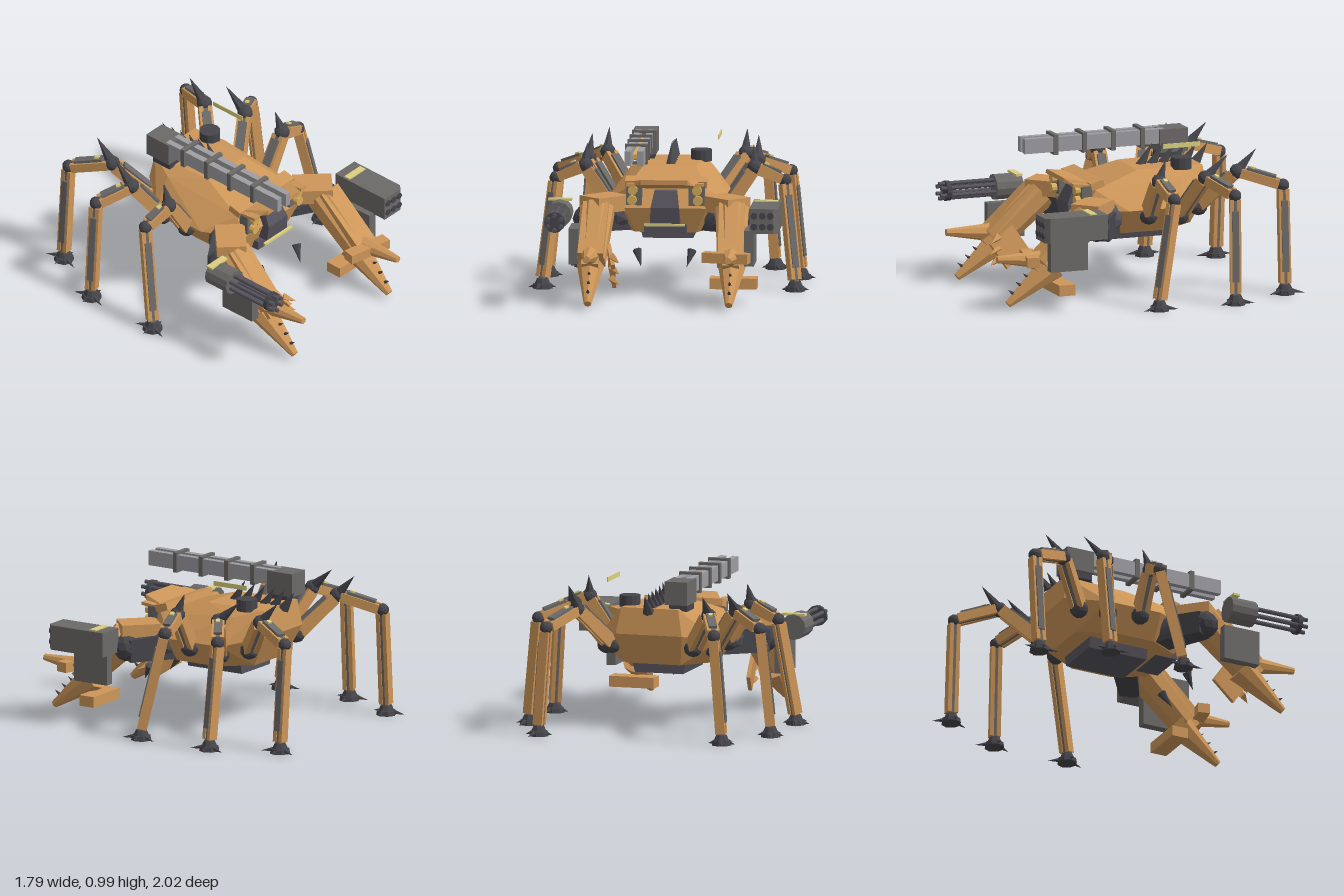
import * as THREE from 'three';
import { ConvexGeometry } from 'three/addons/geometries/ConvexGeometry.js';

const paint = (color) => new THREE.MeshStandardMaterial({ color, flatShading: true });
const tan = paint(0xcd9659), grey = paint(0x6c6a68), dark = paint(0x45454b), slate = paint(0x56535c);
const steel = paint(0x9d9da2), yellow = paint(0xddd080), gold = paint(0xd8ad5c);
const V = (p) => new THREE.Vector3(...p);

function add(parent, name, geo, mat, pos = [0, 0, 0], rot = [0, 0, 0]) {
  const m = new THREE.Mesh(geo, mat);
  m.name = name;
  m.position.set(...pos);
  m.rotation.set(...rot);
  parent.add(m);
  return m;
}
const box = (parent, name, mat, size, pos, rot) => add(parent, name, new THREE.BoxGeometry(...size), mat, pos, rot);
const ball = (parent, name, mat, r, pos) => add(parent, name, new THREE.IcosahedronGeometry(r, 1), mat, pos);
const rod = (parent, name, mat, r, len, pos, sides = 8) =>
  add(parent, name, new THREE.CylinderGeometry(r, r, len, sides), mat, pos, [Math.PI / 2, 0, 0]);

// Faceted solid from points mirrored across x
const shell = (parent, name, mat, half) =>
  add(parent, name, new ConvexGeometry(half.flatMap(([x, y, z]) => [V([x, y, z]), V([-x, y, z])])), mat);

// Group whose +z runs from a to b; returns it with its length
function span(parent, name, a, b) {
  const g = new THREE.Group();
  g.name = name;
  g.position.copy(V(a));
  g.lookAt(V(b));
  parent.add(g);
  return [g, V(a).distanceTo(V(b))];
}

// Tapered box lying along +z
function taper(parent, name, mat, w, h, len, end = 1, pos = [0, 0, 0]) {
  const geo = new THREE.BoxGeometry(w, h, len).translate(0, 0, len / 2);
  const p = geo.attributes.position;
  for (let i = 0; i < p.count; i++) if (p.getZ(i) > 0) p.setXY(i, p.getX(i) * end, p.getY(i) * end);
  return add(parent, name, geo, mat, pos);
}

// Cone, or blunt cone with tip radius, from a to b
function spike(parent, name, mat, r, a, b, sides = 6, tip = 0) {
  const [g, len] = span(parent, name, a, b);
  add(g, name, new THREE.CylinderGeometry(tip, r, len, sides).rotateX(Math.PI / 2), mat, [0, 0, len / 2]);
}

// Beam of tan side rails around a grey core with an outer panel, clear of the joints at its ends
function limb(parent, name, a, b, w, h, end) {
  const [g, full] = span(parent, name, a, b);
  const gap = 0.025, len = full - 2 * gap;
  for (const s of [-1, 1]) taper(g, name + 'Rail', tan, w * 0.36, h, len, end, [s * w * 0.32, 0, gap]);
  taper(g, name + 'Core', grey, w * 0.4, h * 0.8, full, end);
  box(g, name + 'Panel', grey, [w * 0.62, 0.02, len * 0.76], [0, h * 0.5, full / 2]);
  return [g, full];
}

function leg(parent, s, [hip, joint, knee, foot]) {
  const g = new THREE.Group();
  g.name = 'leg';
  parent.add(g);
  const [H, J, K, F] = [hip, joint, knee, foot].map(([x, y, z]) => [x * s, y, z]);
  ball(g, 'hipBall', dark, 0.06, H);
  limb(g, 'hipLink', H, J, 0.09, 0.085, 0.85);
  ball(g, 'upperJoint', dark, 0.05, J);
  const [thigh, len] = limb(g, 'thigh', J, K, 0.085, 0.075, 0.8);
  box(thigh, 'thighMark', yellow, [0.025, 0.012, 0.03], [0, 0.052, len * 0.3]);
  ball(g, 'knee', dark, 0.042, K);
  limb(g, 'shin', K, F, 0.07, 0.06, 1.05);
  // Foot: collar, pad and claws
  add(g, 'ankle', new THREE.CylinderGeometry(0.035, 0.055, 0.045, 8), dark, [F[0], 0.045, F[2]]);
  add(g, 'footPad', new THREE.CylinderGeometry(0.06, 0.065, 0.03, 8), dark, [F[0], 0.017, F[2]]);
  for (const [x, z] of [[0.035, 0.12], [0.035, -0.12], [0.09, 0], [-0.09, 0]])
    spike(g, 'footClaw', dark, 0.017, [F[0] + x * s * 0.4, 0.025, F[2] + z * 0.3], [F[0] + x * s, 0.01, F[2] + z], 5);
}

function arm(parent, s) {
  const g = new THREE.Group();
  g.name = 'clawArm';
  parent.add(g);
  const m = ([x, y, z]) => [x * s, y, z];
  // Shoulder and upper arm
  ball(g, 'shoulder', slate, 0.105, m([0.31, 0.52, 0.2]));
  const [sh, sl] = span(g, 'shoulderStrut', m([0.25, 0.5, 0.16]), m([0.52, 0.49, 0.33]));
  taper(sh, 'shoulderStrut', dark, 0.15, 0.17, sl, 0.85);
  ball(g, 'elbow', dark, 0.09, m([0.5, 0.5, 0.34]));
  box(g, 'upperArm', tan, [0.19, 0.1, 0.25], m([0.39, 0.6, 0.325]), [0, s * Math.PI / 4, 0]);
  // Forearm with chamfered edges
  const [f, len] = span(g, 'forearm', m([0.43, 0.56, 0.37]), m([0.445, 0.27, 0.68]));
  const bar = new THREE.CylinderGeometry(0.095, 0.115, len, 8).rotateY(Math.PI / 8).rotateX(Math.PI / 2);
  add(f, 'forearmBody', bar, tan, [0, 0, len / 2]);
  taper(f, 'forearmPlate', tan, 0.2, 0.14, len, 0.82, [0, 0.035, 0]);
  taper(f, 'wrist', tan, 0.14, 0.16, 0.06, 0.75, [0, 0, len]);
  // Blunt pincer
  spike(g, 'upperClaw', tan, 0.062, m([0.45, 0.315, 0.68]), m([0.45, 0.337, 1]), 8, 0.022);
  spike(g, 'lowerClaw', tan, 0.095, m([0.45, 0.27, 0.62]), m([0.45, 0.04, 0.925]), 8, 0.024);
  for (let i = 0; i < 3; i++)
    spike(g, 'clawTooth', dark, 0.012, m([0.45, 0.21 - i * 0.05, 0.79 + i * 0.05]), m([0.45, 0.235 - i * 0.05, 0.825 + i * 0.05]), 5);
  box(g, 'weaponBracket', grey, [0.06, 0.23, 0.25], m([0.56, 0.37, 0.56]));
}

export function createModel() {
  const model = new THREE.Group();
  model.name = 'walkerMachine';

  // Faceted hull
  shell(model, 'hull', tan, [[0.19, 0.41, 0.28], [0.3, 0.41, 0.08], [0.3, 0.41, -0.2], [0.18, 0.42, -0.42],
    [0.265, 0.57, 0.33], [0.4, 0.57, 0.08], [0.4, 0.57, -0.3], [0.22, 0.62, -0.52],
    [0.25, 0.69, 0.25], [0.17, 0.785, -0.06], [0.27, 0.74, -0.32], [0.19, 0.79, -0.5]]);
  shell(model, 'bellyBox', slate, [[0.16, 0.345, 0.1], [0.16, 0.345, -0.31], [0.18, 0.42, 0.1], [0.18, 0.42, -0.31]]);

  // Head: brow plates, canopy, chin
  box(model, 'rearBrow', tan, [0.52, 0.045, 0.09], [0, 0.725, 0.24], [0.25, 0, 0]);
  shell(model, 'frontBrow', tan, [[0.21, 0.69, 0.28], [0.21, 0.735, 0.28], [0.19, 0.72, 0.38], [0.15, 0.765, 0.43], [0.15, 0.735, 0.43]]);
  shell(model, 'canopy', slate, [[0.095, 0.475, 0.25], [0.095, 0.475, 0.37], [0.09, 0.58, 0.38], [0.07, 0.68, 0.33], [0.07, 0.68, 0.25]]);
  box(model, 'chin', slate, [0.27, 0.06, 0.15], [0, 0.435, 0.255]);
  box(model, 'chinStripe', yellow, [0.26, 0.015, 0.02], [0, 0.47, 0.38]);
  for (const s of [-1, 1]) {
    box(model, 'lampHousing', grey, [0.1, 0.13, 0.07], [s * 0.2, 0.655, 0.31]);
    for (const [x, y] of [[0.21, 0.625], [0.205, 0.69]]) rod(model, 'lamp', gold, 0.031, 0.04, [s * x, y, 0.36], 10);
    box(model, 'cheekFin', tan, [0.05, 0.02, 0.18], [s * 0.22, 0.72, 0.31], [-0.1, 0, 0]);
    spike(model, 'mandible', dark, 0.03, [s * 0.175, 0.31, 0.38], [s * 0.145, 0.21, 0.44]);
  }

  // Legs and claw arms
  const legs = [
    [[0.38, 0.53, -0.06], [0.54, 0.78, -0.07], [0.73, 0.695, -0.1], [0.805, 0.05, 0.03]],
    [[0.36, 0.51, -0.28], [0.54, 0.78, -0.385], [0.74, 0.695, -0.51], [0.805, 0.05, -0.49]],
    [[0.27, 0.54, -0.44], [0.44, 0.785, -0.64], [0.56, 0.7, -0.905], [0.61, 0.05, -0.9]]];
  const tips = [[0.53, 0.92, -0.12], [0.53, 0.92, -0.54], [0.44, 0.925, -0.77]];
  for (const s of [-1, 1]) {
    legs.forEach((l, i) => {
      leg(model, s, l);
      const [x, y, z] = l[1];
      spike(model, 'legSpike', dark, 0.04, [x * s, y, z], [tips[i][0] * s, tips[i][1], tips[i][2]]);
    });
    arm(model, s);
  }

  // Spine spikes
  for (let i = 0; i < 6; i++) {
    const z = -0.15 - i * 0.075;
    spike(model, 'spineSpike', dark, 0.037, [0, 0.77, z], [0, 0.915 - i * 0.006, z - 0.08]);
  }

  // Long rail cannon
  const gun = new THREE.Group();
  gun.name = 'railCannon';
  model.add(gun);
  box(gun, 'breech', grey, [0.15, 0.15, 0.19], [-0.18, 0.895, -0.42]);
  box(gun, 'cannonMount', dark, [0.12, 0.07, 0.14], [-0.18, 0.81, -0.4]);
  for (const x of [-0.22, -0.14]) box(gun, 'rail', steel, [0.04, 0.095, 0.95], [x, 0.925, 0.115]);
  box(gun, 'railCore', gold, [0.03, 0.03, 0.85], [-0.18, 0.925, 0.08]);
  for (const z of [0.38, 0.185, -0.01, -0.21]) {
    for (const y of [0.868, 0.982]) box(gun, 'clamp', grey, [0.13, 0.016, 0.03], [-0.18, y, z]);
    for (const x of [-0.246, -0.114]) box(gun, 'clampSide', grey, [0.012, 0.13, 0.03], [x, 0.925, z]);
  }

  // Small turret and its thin blade
  add(model, 'turret', new THREE.CylinderGeometry(0.067, 0.067, 0.075, 12), dark, [0.177, 0.812, -0.36]);
  box(model, 'turretBlade', yellow, [0.006, 0.03, 0.25], [0.3, 0.952, -0.315]);

  // Rotary gun on the right arm
  rod(model, 'rotaryDrum', grey, 0.083, 0.18, [-0.66, 0.56, 0.51], 12);
  box(model, 'drumStripe', yellow, [0.15, 0.015, 0.045], [-0.66, 0.64, 0.45]);
  rod(model, 'barrelCollar', dark, 0.066, 0.03, [-0.66, 0.56, 0.915], 12);
  for (let i = 0; i < 6; i++) {
    const t = (i + 0.5) * Math.PI / 3;
    rod(model, 'barrel', slate, 0.0135, 0.38, [-0.66 + 0.047 * Math.cos(t), 0.56 + 0.047 * Math.sin(t), 0.78]);
  }

  // Rocket pod on the left arm
  const outline = new THREE.Shape([[0.57, -0.36], [0.75, -0.36], [0.75, -0.75], [0.72, -0.78], [0.57, -0.78]].map(([x, y]) => new THREE.Vector2(x, y)));
  add(model, 'rocketPod', new THREE.ExtrudeGeometry(outline, { depth: 0.16, bevelEnabled: false }), grey, [0, 0.48, 0], [-Math.PI / 2, 0, 0]);
  box(model, 'podStripe', yellow, [0.15, 0.012, 0.045], [0.655, 0.642, 0.45]);
  for (let i = 0; i < 6; i++)
    rod(model, 'rocketTube', dark, 0.022, 0.012, [0.6 + (i % 3) * 0.052, 0.525 + Math.floor(i / 3) * 0.07, 0.781], 10);

  // Left arm guards
  box(model, 'upperGuard', tan, [0.3, 0.065, 0.08], [0.42, 0.322, 0.765], [0, -0.2, 0]);
  box(model, 'lowerGuard', tan, [0.3, 0.07, 0.11], [0.455, 0.135, 0.58]);
  // Right arm toothed blade
  box(model, 'blade', tan, [0.025, 0.2, 0.2], [-0.32, 0.24, 0.62], [0.6, 0.2, 0]);
  for (let i = 0; i < 3; i++)
    spike(model, 'bladeTooth', tan, 0.03, [-0.31, 0.31 - i * 0.07, 0.7], [-0.26, 0.28 - i * 0.07, 0.77], 4);
  return model;
}
